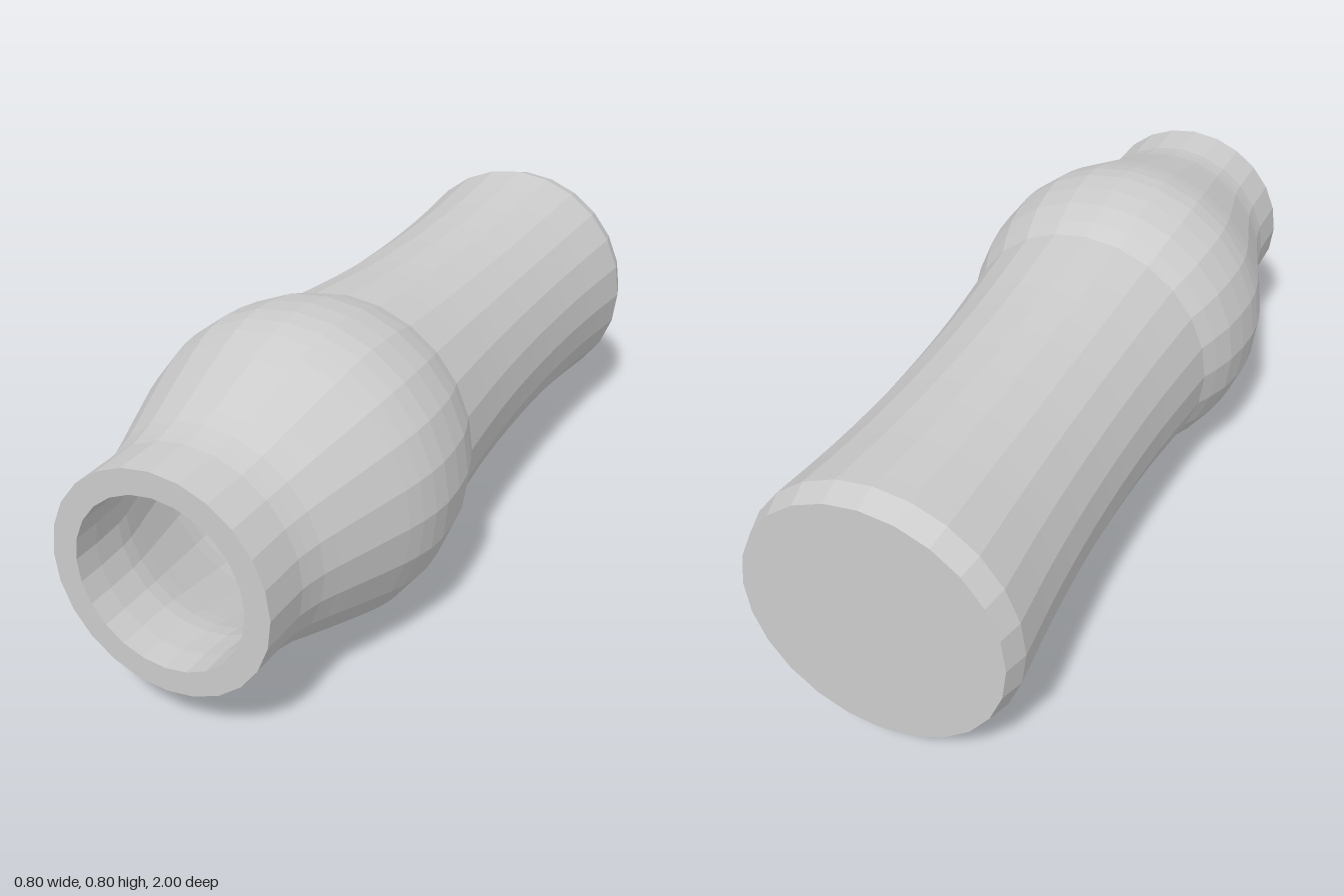
import * as THREE from 'three';

const SIDES = 24;
const AXIS_HEIGHT = 0.4;

// Smooth run of profile points [radius, z] sampled along a spline
function curve(points, steps) {
  return new THREE.SplineCurve(points.map(([r, z]) => new THREE.Vector2(r, z))).getPoints(steps);
}

// Revolve a profile, then lay its axis along z
function revolve(name, profile, material) {
  const geometry = new THREE.LatheGeometry(profile, SIDES);
  geometry.rotateX(Math.PI / 2);
  const mesh = new THREE.Mesh(geometry, material);
  mesh.name = name;
  mesh.position.y = AXIS_HEIGHT;
  return mesh;
}

export function createModel() {
  const group = new THREE.Group();
  group.name = 'bottle';
  const material = new THREE.MeshStandardMaterial({
    color: 0xcccccc, flatShading: true, side: THREE.DoubleSide,
  });
  const v = (r, z) => new THREE.Vector2(r, z);

  // Waisted grip with a chamfered base
  const grip = curve([[0.342, -0.94], [0.322, -0.7], [0.314, -0.42], [0.322, -0.12], [0.346, 0.16]], 14);
  // Round bulge narrowing to the neck
  const bulge = curve([[0.346, 0.16], [0.385, 0.27], [0.4, 0.41], [0.386, 0.51], [0.358, 0.6], [0.32, 0.71], [0.29, 0.8], [0.277, 0.87]], 14);

  // Closed base and chamfer
  group.add(revolve('base', [v(0, -1), v(0.324, -1), v(0.342, -0.94)], material));
  group.add(revolve('grip', grip, material));
  group.add(revolve('bulge', bulge, material));

  // Straight neck, flat rim and inner lip
  group.add(revolve('neck', [v(0.277, 0.87), v(0.277, 1), v(0.215, 1), v(0.215, 0.93)], material));

  // Hollow inside, following the outer wall at an even thickness
  const wall = 0.06;
  const inner = [...grip, ...bulge.slice(1, -1)].map((p) => v(p.x - wall, p.y));
  group.add(revolve('cavity', [v(0.215, 0.93), ...inner.reverse(), v(0, -0.94)], material));

  return group;
}
